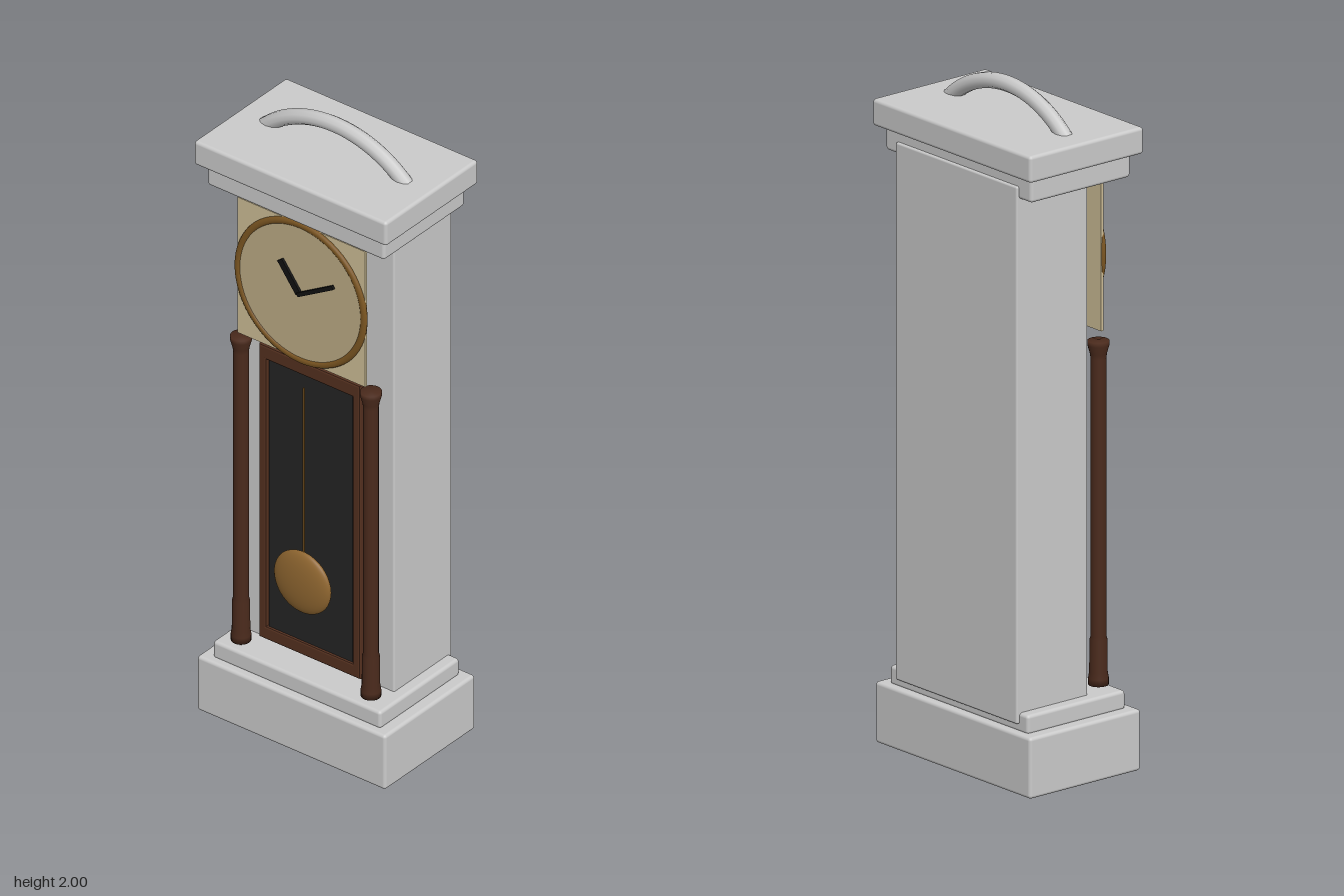
import * as THREE from 'three';
import { RoundedBoxGeometry } from 'three/addons/geometries/RoundedBoxGeometry.js';

const mat = (name, color) => {
  const m = new THREE.MeshStandardMaterial({ color });
  m.name = name;
  return m;
};

export function createModel() {
  const clock = new THREE.Group();
  clock.name = 'longcaseClock';

  const grey = mat('paleGrey', 0xcacaca);
  const plateCream = mat('plateCream', 0xcdbd96);
  const dialCream = mat('dialCream', 0xbcab85);
  const brass = mat('darkBrass', 0x7d5722);
  const bobBrass = mat('pendulumBrass', 0x8f6630);
  const wood = mat('doorWood', 0x54301f);
  const darkWood = mat('columnWood', 0x4a2a1c);
  const charcoal = mat('charcoal', 0x242424);
  const black = mat('handBlack', 0x121212);

  const add = (name, geometry, material, x = 0, y = 0, z = 0) => {
    const mesh = new THREE.Mesh(geometry, material);
    mesh.name = name;
    mesh.position.set(x, y, z);
    clock.add(mesh);
    return mesh;
  };

  // Box given by half width, vertical span and depth span
  const block = (name, hx, y0, y1, z0, z1, material, r = 0.01) =>
    add(name, new RoundedBoxGeometry(hx * 2, y1 - y0, z1 - z0, 3, r), material,
      0, (y0 + y1) / 2, (z0 + z1) / 2);

  // Case
  block('base', 0.335, 0, 0.18, -0.203, 0.203, grey);
  block('plinth', 0.298, 0.175, 0.232, -0.18, 0.178, grey);
  block('body', 0.262, 0.2, 1.78, -0.19, 0.07, grey, 0.006);
  block('lowerCornice', 0.315, 1.743, 1.815, -0.182, 0.182, grey);
  block('upperCornice', 0.342, 1.813, 1.892, -0.208, 0.208, grey);

  // Arched handle on the roof
  const arc = [];
  for (let i = 0; i <= 12; i++) {
    const a = (i / 6 - 1) * 0.76;
    arc.push(new THREE.Vector3(Math.sin(a) * 0.365, 1.612 + Math.cos(a) * 0.365, 0));
  }
  add('handle', new THREE.TubeGeometry(new THREE.CatmullRomCurve3(arc), 32, 0.023, 10), grey);

  // Dial with brass rim
  const dialY = 1.5;
  add('dialPlate', new THREE.BoxGeometry(0.454, 0.45, 0.008), plateCream, 0, dialY, 0.152);
  const disc = add('dial', new THREE.CylinderGeometry(0.225, 0.225, 0.006, 48), dialCream, 0, dialY, 0.158);
  disc.rotation.x = Math.PI / 2;
  const rim = add('dialRim', new THREE.TorusGeometry(0.224, 0.011, 10, 64), brass, 0, dialY, 0.157);
  rim.scale.z = 0.75;

  // Hands pointing from the centre to (dx, dy)
  const hand = (name, dx, dy, width, z) => {
    const g = new THREE.BoxGeometry(width, Math.hypot(dx, dy), 0.008);
    g.translate(0, Math.hypot(dx, dy) / 2, 0);
    add(name, g, black, 0, dialY, z).rotation.z = Math.atan2(-dx, dy);
  };
  hand('hourHand', -0.066, 0.088, 0.02, 0.167);
  hand('minuteHand', 0.127, 0.075, 0.012, 0.173);

  // Door frame with an opening
  const rect = (path, hx, y0, y1) => path.moveTo(-hx, y0).lineTo(hx, y0).lineTo(hx, y1).lineTo(-hx, y1).closePath();
  const frame = new THREE.Shape();
  rect(frame, 0.174, 0.271, 1.234);
  const opening = new THREE.Path();
  rect(opening, 0.159, 0.302, 1.201);
  frame.holes.push(opening);
  add('doorFrame', new THREE.ExtrudeGeometry(frame, {
    depth: 0.012, bevelThickness: 0.006, bevelSize: 0.006, bevelSegments: 2,
  }), wood, 0, 0, 0.103);
  block('doorPanel', 0.15, 0.303, 1.197, 0.1, 0.114, charcoal, 0.002);

  // Pendulum
  add('pendulumRod', new THREE.CylinderGeometry(0.003, 0.003, 0.57, 8), brass, 0, 0.89, 0.145);
  const bob = add('pendulumBob', new THREE.SphereGeometry(0.1, 32, 20), bobBrass, 0, 0.533, 0.15);
  bob.scale.z = 0.25;

  // Turned columns on both sides of the door
  const profile = [
    [0, 0.242], [0.029, 0.242], [0.029, 0.262], [0.026, 0.28], [0.025, 0.375], [0.022, 0.385],
    [0.022, 1.2], [0.024, 1.215], [0.031, 1.24], [0.031, 1.253], [0, 1.253],
  ].map(([r, y]) => new THREE.Vector2(r, y));
  const columnGeometry = new THREE.LatheGeometry(profile, 20);
  for (const side of [1, -1]) {
    add(side > 0 ? 'leftColumn' : 'rightColumn', columnGeometry, darkWood, side * 0.231, 0, 0.135);
  }

  return clock;
}
